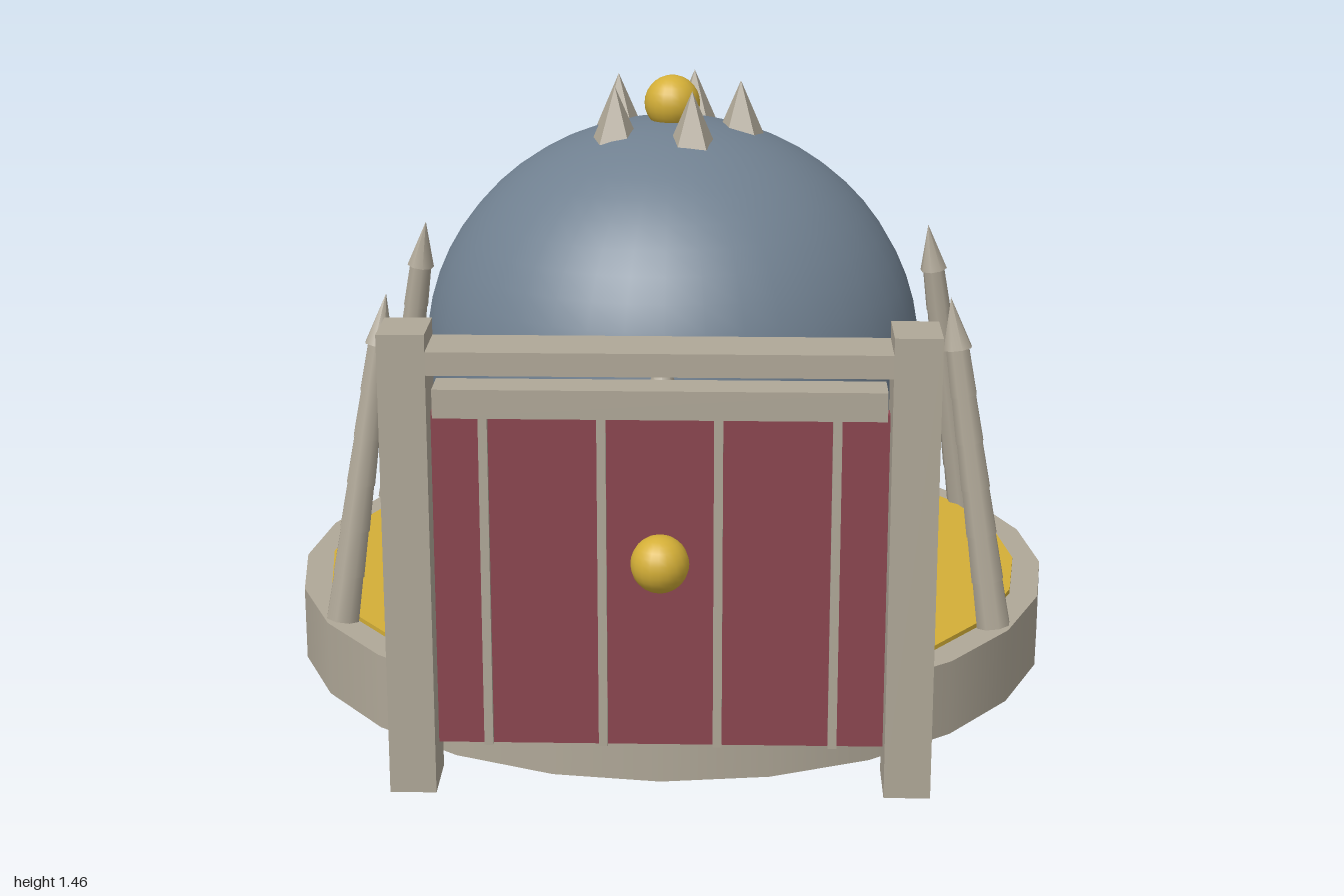
import * as THREE from 'three';

const CZ = -0.045; // centre of the round platform in z

const material = (color, flatShading = false) => new THREE.MeshStandardMaterial({ color, flatShading });
const stone = material(0xb0a898);
const stoneFlat = material(0xb0a898, true);
const gold = material(0xd4af37);
const slate = material(0x708090);
const red = material(0x8b4650);

function add(parent, name, geometry, mat, x = 0, y = 0, z = 0) {
  const mesh = new THREE.Mesh(geometry, mat);
  mesh.name = name;
  mesh.position.set(x, y, z);
  parent.add(mesh);
  return mesh;
}

// Disc standing between two heights
function disc(parent, name, radius, y0, y1, mat) {
  return add(parent, name, new THREE.CylinderGeometry(radius, radius, y1 - y0, 24), mat, 0, (y0 + y1) / 2, 0);
}

// Box given by its x centre, width and y/z extents
function box(parent, name, x, width, y0, y1, z0, z1, mat) {
  return add(parent, name, new THREE.BoxGeometry(width, y1 - y0, z1 - z0), mat, x, (y0 + y1) / 2, (z0 + z1) / 2);
}

// Ringed, tapering pillar with a pointed tip, standing on its own origin
function makePillar() {
  const pillar = new THREE.Group();
  pillar.name = 'pillar';
  const count = 6, step = 0.115;
  for (let i = 0; i < count; i++) {
    const bottom = 0.042 - i * 0.0018;
    add(pillar, 'pillarSegment', new THREE.CylinderGeometry(bottom - 0.004, bottom, step, 8), stone, 0, (i + 0.5) * step, 0);
  }
  add(pillar, 'pillarTip', new THREE.ConeGeometry(0.036, 0.125, 8), stone, 0, count * step + 0.0625, 0);
  return pillar;
}

function makeGate() {
  const gate = new THREE.Group();
  gate.name = 'gate';
  for (const side of [-1, 1]) box(gate, 'gatePost', side * 0.553, 0.104, 0, 1.065, 0.835, 0.98, stone);
  box(gate, 'topBeam', 0, 1.002, 0.975, 1.027, 0.835, 0.98, stone);
  box(gate, 'doorRail', 0, 0.985, 0.87, 0.935, 0.86, 0.95, stone);
  box(gate, 'doorPanel', 0, 1.0, 0.095, 0.875, 0.875, 0.915, red);
  for (const x of [-0.386, -0.128, 0.128, 0.386]) box(gate, 'doorBar', x, 0.02, 0.095, 0.872, 0.9, 0.93, stone);
  add(gate, 'doorKnob', new THREE.SphereGeometry(0.065, 20, 14), gold, 0, 0.535, 0.935);
  return gate;
}

export function createModel() {
  const model = new THREE.Group();
  model.name = 'domedShrine';

  const shrine = new THREE.Group();
  shrine.name = 'shrine';
  shrine.position.z = CZ;
  model.add(shrine);

  // Platform
  disc(shrine, 'platform', 0.955, 0, 0.185, stone);
  disc(shrine, 'floor', 0.885, 0.17, 0.196, gold);
  disc(shrine, 'pedestal', 0.515, 0.19, 0.272, gold);

  // Slightly flattened dome
  const dome = add(shrine, 'dome', new THREE.SphereGeometry(0.625, 40, 28), slate, 0, 0.755, 0);
  dome.scale.y = 0.95;

  // Crown of spikes around a ball
  add(shrine, 'crownBall', new THREE.SphereGeometry(0.069, 20, 14), gold, 0, 1.387, 0);
  for (let i = 0; i < 5; i++) {
    const a = (i / 5) * Math.PI * 2;
    const spike = add(shrine, 'crownSpike', new THREE.ConeGeometry(0.06, 0.135, 5), stoneFlat,
      0.17 * Math.cos(a), 1.376, 0.17 * Math.sin(a));
    spike.rotation.y = Math.PI;
  }

  // Ring of pillars leaning inward
  for (let i = 0; i < 6; i++) {
    const spoke = new THREE.Group();
    spoke.name = 'pillarSpoke';
    spoke.rotation.y = (i / 6) * Math.PI * 2;
    const pillar = makePillar();
    pillar.position.set(0, 0.19, 0.915);
    pillar.rotation.x = -0.172;
    spoke.add(pillar);
    shrine.add(spoke);
  }

  model.add(makeGate());
  return model;
}
